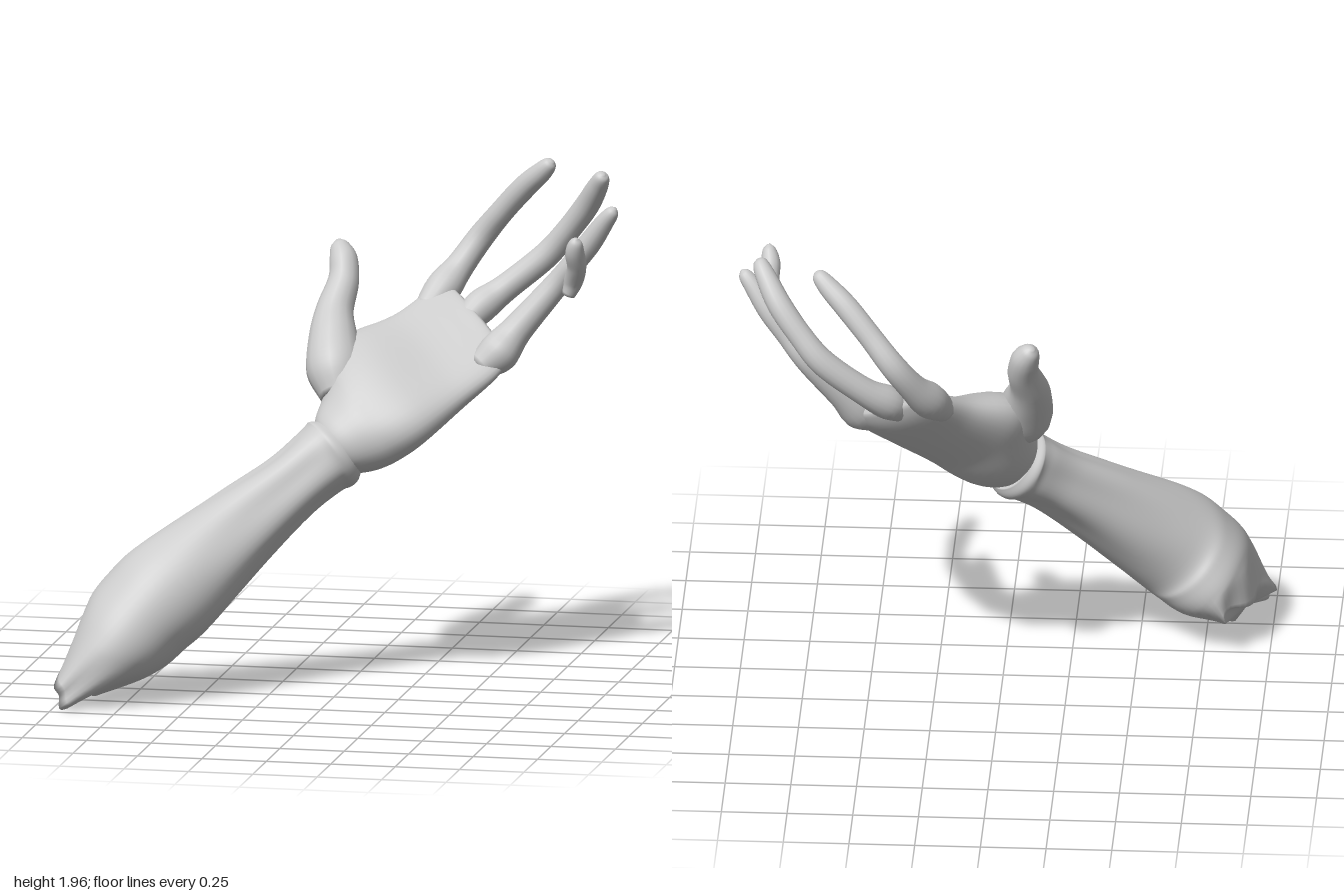
import * as THREE from 'three';

const V3 = (a) => new THREE.Vector3(...a);
const material = new THREE.MeshStandardMaterial({ color: 0xcccccc, side: THREE.DoubleSide });
const ACROSS = V3([-0.64, 0.455, -0.62]); // across the palm, towards the thumb

// Skin a smooth body over stations { c: centre, u: half width vector, b: half thickness, cup }.
function loft(name, stations, steps, sides, shape) {
  const curve = (f) => new THREE.CatmullRomCurve3(stations.map(f), false, 'catmullrom', 0.5);
  const centre = curve((s) => V3(s.c));
  const width = curve((s) => s.u);
  const depth = curve((s) => new THREE.Vector3(s.b, s.cup || 0, 0));
  const pos = [], idx = [];
  for (let i = 0; i <= steps; i++) {
    const t = i / steps;
    const c = centre.getPoint(t), u = width.getPoint(t), d = depth.getPoint(t);
    const along = centre.getTangent(t);
    const v = along.clone().cross(u).normalize();
    for (let j = 0; j < sides; j++) {
      const a = (j / sides) * Math.PI * 2;
      const cs = Math.cos(a), sn = Math.sin(a);
      const [swell, slide] = shape(t, a);
      // hollow the palm side by the cup amount
      const lift = d.x * sn * swell - (sn > 0 ? d.y * sn * sn : 0);
      const p = c.clone().addScaledVector(u, cs * swell).addScaledVector(v, lift).addScaledVector(along, slide);
      pos.push(p.x, p.y, p.z);
    }
  }
  for (let i = 0; i < steps; i++) {
    for (let j = 0; j < sides; j++) {
      const k = (j + 1) % sides, a = i * sides, b = a + sides;
      idx.push(a + j, a + k, b + k, a + j, b + k, b + j);
    }
  }
  // end caps
  const first = centre.getPoint(0), last = centre.getPoint(1);
  const n = pos.length / 3, e = steps * sides;
  pos.push(first.x, first.y, first.z, last.x, last.y, last.z);
  for (let j = 0; j < sides; j++) {
    const k = (j + 1) % sides;
    idx.push(n, k, j, n + 1, e + j, e + k);
  }
  const geometry = new THREE.BufferGeometry();
  geometry.setAttribute('position', new THREE.Float32BufferAttribute(pos, 3));
  geometry.setIndex(idx);
  geometry.computeVertexNormals();
  const mesh = new THREE.Mesh(geometry, material);
  mesh.name = name;
  return mesh;
}

// Round limb from points [x, y, z, radius], each ring square to the path.
function digit(name, points, side = ACROSS) {
  const stations = points.map(([x, y, z, r], i) => {
    const before = points[Math.max(0, i - 1)], after = points[Math.min(points.length - 1, i + 1)];
    const along = V3(after.slice(0, 3)).sub(V3(before.slice(0, 3))).normalize();
    return { c: [x, y, z], u: side.clone().projectOnPlane(along).setLength(r), b: r };
  });
  return loft(name, stations, (points.length - 1) * 6, 16, () => [1, 0]);
}

export function createModel() {
  const group = new THREE.Group();
  group.name = 'arm';

  // forearm: slanted ragged stump, broad muscle, narrow ridged wrist with a raised rim
  const oval = (c, r, b) => ({ c, u: V3([-0.37, -0.24, -0.9]).multiplyScalar(r), b });
  const forearm = [
    { c: [-0.905, 0.095, 0.45], u: V3([0.07, 0.07, -0.265]), b: 0.085 },
    { c: [-0.78, 0.23, 0.43], u: V3([-0.01, 0.02, -0.27]), b: 0.185 },
    { c: [-0.69, 0.33, 0.4], u: V3([-0.045, -0.015, -0.235]), b: 0.205 },
    oval([-0.59, 0.425, 0.36], 0.2, 0.205),
    oval([-0.37, 0.625, 0.215], 0.142, 0.16),
    oval([-0.2, 0.77, 0.105], 0.125, 0.13),
    oval([-0.1, 0.855, 0.035], 0.13, 0.135),
    oval([-0.06, 0.885, 0.01], 0.142, 0.147),
    oval([-0.03, 0.91, -0.005], 0.125, 0.125),
  ];
  group.add(loft('forearm', forearm, 64, 48, (t, a) => {
    const end = Math.max(0, 1 - t * 8);
    const tendon = Math.sin(Math.PI * THREE.MathUtils.clamp((t - 0.4) / 0.45, 0, 1));
    return [1 + 0.06 * tendon * Math.cos(5 * a + 0.6) + 0.05 * end * Math.cos(7 * a),
      0.02 * end * Math.sin(5 * a)];
  }));

  // palm: heel, hollow and knuckle row, swelling into a mound on the thumb side
  const slab = (c, w, b, cup) => ({ c, u: ACROSS.clone().multiplyScalar(w), b, cup });
  group.add(loft('palm', [
    slab([-0.05, 0.9, 0.005], 0.125, 0.115, 0),
    slab([-0.02, 0.935, -0.02], 0.165, 0.135, 0),
    slab([0.04, 0.995, -0.075], 0.225, 0.152, 0.005),
    slab([0.13, 1.09, -0.145], 0.27, 0.145, 0.025),
    slab([0.26, 1.195, -0.275], 0.265, 0.112, 0.04),
    slab([0.365, 1.285, -0.385], 0.265, 0.08, 0.025),
    slab([0.415, 1.325, -0.43], 0.225, 0.045, 0),
    slab([0.425, 1.335, -0.44], 0.15, 0.02, 0),
  ], 42, 40, (t, a) => {
    const mound = Math.exp(-(((t - 0.41) / 0.13) ** 2)) * Math.max(0, Math.cos(a - 0.65)) ** 2;
    return [1 + 0.24 * mound, 0];
  }));

  // thumb and the three whole fingers, rooted just inside the palm
  group.add(digit('thumb', [
    [-0.05, 1.08, -0.11, 0.075], [-0.085, 1.17, -0.17, 0.108], [-0.108, 1.275, -0.25, 0.095],
    [-0.118, 1.37, -0.33, 0.073], [-0.1, 1.47, -0.405, 0.06], [-0.11, 1.545, -0.45, 0.054],
    [-0.13, 1.59, -0.478, 0.036], [-0.138, 1.61, -0.49, 0.01],
  ], V3([-1, 0, 0])));
  group.add(digit('indexFinger', [
    [0.2, 1.345, -0.49, 0.05], [0.25, 1.42, -0.57, 0.069],
    [0.305, 1.5, -0.635, 0.055], [0.38, 1.61, -0.675, 0.05], [0.47, 1.72, -0.645, 0.046],
    [0.56, 1.82, -0.605, 0.046], [0.63, 1.885, -0.57, 0.04], [0.67, 1.925, -0.55, 0.028],
    [0.682, 1.938, -0.545, 0.008],
  ]));
  group.add(digit('middleFinger', [
    [0.35, 1.305, -0.43, 0.045], [0.41, 1.37, -0.495, 0.065],
    [0.5, 1.44, -0.545, 0.053], [0.65, 1.565, -0.57, 0.051], [0.74, 1.67, -0.55, 0.047],
    [0.82, 1.775, -0.51, 0.047], [0.875, 1.865, -0.455, 0.04], [0.9, 1.91, -0.42, 0.028],
    [0.906, 1.925, -0.412, 0.008],
  ]));
  group.add(digit('ringFinger', [
    [0.455, 1.185, -0.25, 0.05], [0.525, 1.24, -0.29, 0.078],
    [0.59, 1.325, -0.335, 0.06], [0.72, 1.48, -0.375, 0.049], [0.8, 1.58, -0.36, 0.044],
    [0.87, 1.67, -0.34, 0.044], [0.93, 1.755, -0.315, 0.036], [0.965, 1.8, -0.3, 0.026],
    [0.977, 1.817, -0.297, 0.008],
  ]));

  // loose tip of the little finger
  group.add(digit('littleFingertip', [
    [0.842, 1.52, -0.075, 0.026], [0.862, 1.575, -0.07, 0.037], [0.885, 1.64, -0.025, 0.037],
    [0.885, 1.7, 0.012, 0.037], [0.892, 1.745, 0.035, 0.026], [0.894, 1.765, 0.042, 0.007],
  ]));

  return group;
}
